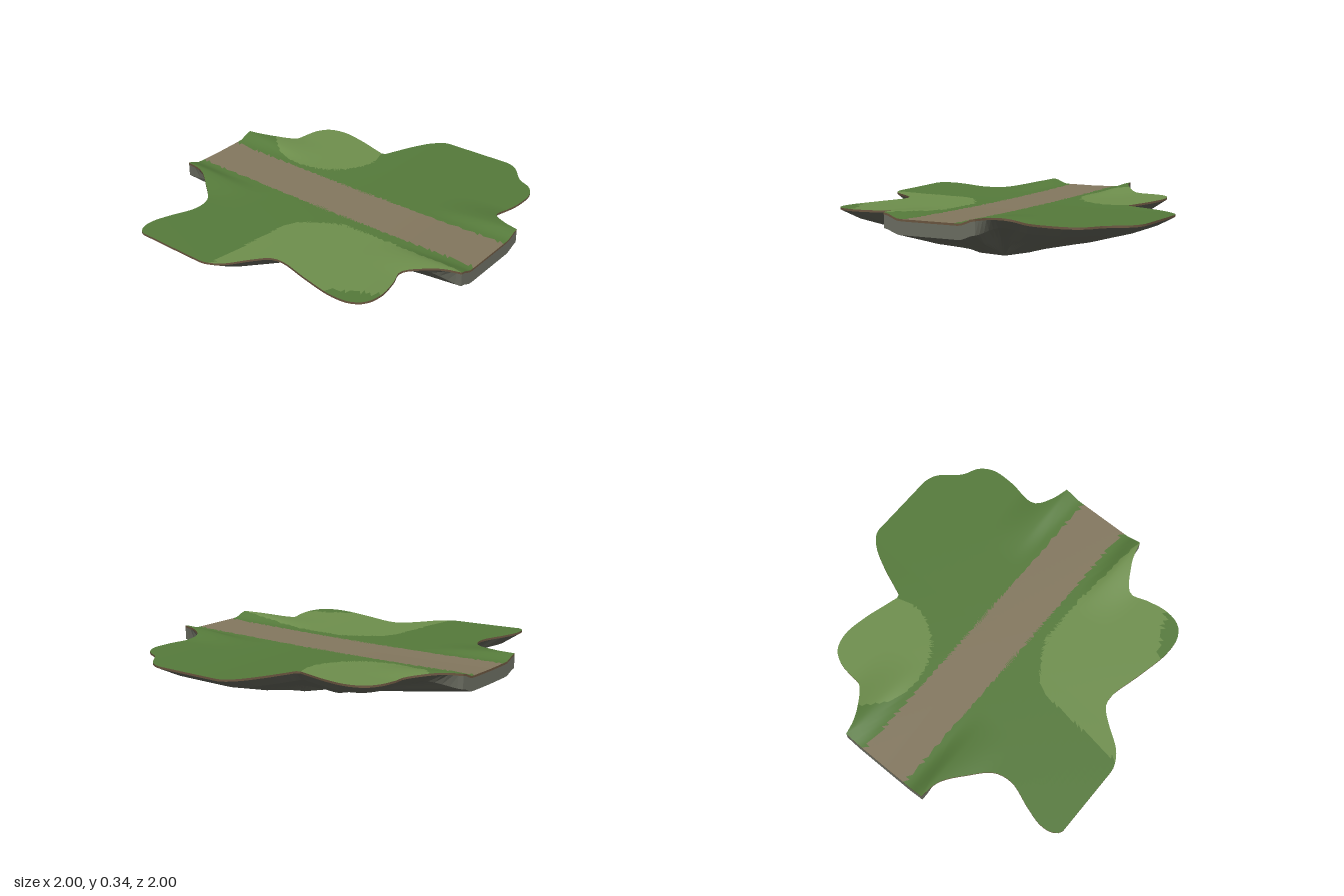
import * as THREE from 'three';

const smooth = THREE.MathUtils.smoothstep;

// Plan outline [x, z], clockwise seen from above; the two straight ends join these coasts
const backCoast = [[-1, -0.28], [-0.92, -0.3], [-0.84, -0.34], [-0.73, -0.43], [-0.72, -0.5], [-0.7, -0.6],
  [-0.65, -0.67], [-0.55, -0.7], [-0.4, -0.68], [-0.22, -0.63], [-0.17, -0.62], [-0.14, -0.68], [-0.09, -0.8],
  [-0.01, -0.94], [0.07, -1], [0.3, -1], [0.5, -1], [0.58, -0.97], [0.69, -0.85], [0.78, -0.8], [0.83, -0.72],
  [0.835, -0.58], [0.81, -0.38], [0.9, -0.31], [1, -0.28]];
const frontCoast = [[1, 0.28], [0.92, 0.3], [0.85, 0.33], [0.715, 0.43], [0.74, 0.53], [0.76, 0.66], [0.735, 0.76],
  [0.67, 0.81], [0.55, 0.82], [0.35, 0.78], [0.14, 0.73], [0.07, 0.745], [0, 0.82], [-0.1, 0.95], [-0.2, 1],
  [-0.4, 1], [-0.65, 1], [-0.69, 0.96], [-0.7, 0.88], [-0.67, 0.77], [-0.615, 0.61], [-0.635, 0.5],
  [-0.75, 0.39], [-0.88, 0.3], [-1, 0.28]];

function makeOutline() {
  const coast = (pts) => new THREE.CatmullRomCurve3(pts.map(([x, z]) => new THREE.Vector3(x, 0, z)))
    .getSpacedPoints(110).slice(0, -1);
  const end = (x, z0) => Array.from({ length: 20 }, (_, i) => new THREE.Vector3(x, 0, z0 * (1 - i / 10)));
  const all = [...coast(backCoast), ...end(1, -0.28), ...coast(frontCoast), ...end(-1, 0.28)];
  all.forEach((p) => { p.z = THREE.MathUtils.clamp(p.z, -1, 1); });
  return all;
}

// Ground height: almost flat, with raised banks beside the road towards both ends
function groundHeight(x, z) {
  const a = Math.abs(z);
  const bank = smooth(a, 0.18, 0.28) * (1 - smooth(a, 0.29, 0.5));
  return 0.3 + 0.011 * x * x + 0.012 * Math.max(0, -x) * Math.min(1, a)
    + 0.03 * bank * smooth(Math.abs(x), 0.4, 0.95);
}

// Which ground cover lies at a point
function coverAt(x, z) {
  if (Math.abs(z) < 0.15) return 'road';
  if (((x + 0.52) / 0.36) ** 2 + ((z + 0.5) / 0.31) ** 2 < 1) return 'lightGrass';
  const edge = -0.14 + 0.1 * (0.9 - z) + 0.25 * Math.max(0, (0.45 - z) / 0.23) ** 2;
  const darkSpot = x > 0.5 && z + 0.5 * x > 1.04;
  if (z > 0.22 + 0.1 * Math.max(0, x - 0.5) && x > edge && !darkSpot) return 'lightGrass';
  return 'darkGrass';
}

// Joins closed rings of points; sort(x, z) may split the triangles into several index lists
function loft(rings, sort = () => 'all') {
  const n = rings[0].length;
  const verts = rings.flat();
  const lists = {};
  const add = (...t) => {
    const x = t.reduce((s, k) => s + verts[k].x / 3, 0);
    const z = t.reduce((s, k) => s + verts[k].z / 3, 0);
    (lists[sort(x, z)] ??= []).push(...t);
  };
  for (let r = 0; r < rings.length - 1; r++) {
    for (let i = 0; i < n; i++) {
      const j = (i + 1) % n;
      const a = r * n, b = a + n;
      add(a + i, b + j, b + i);
      add(a + i, a + j, b + j);
    }
  }
  const geometry = new THREE.BufferGeometry().setFromPoints(verts);
  geometry.setIndex(Object.values(lists).flat());
  geometry.computeVertexNormals();
  return { geometry, lists };
}

export function createModel() {
  const group = new THREE.Group();
  const outline = makeOutline();
  const n = outline.length;
  const addMesh = (name, geometry, color, flatShading = false) => {
    const mesh = new THREE.Mesh(geometry, new THREE.MeshStandardMaterial({ color, flatShading }));
    mesh.name = name;
    group.add(mesh);
  };

  // Ground, split into road and two grass tones that share smooth normals
  const steps = 30;
  const groundRings = Array.from({ length: steps + 1 }, (_, r) => {
    const t = Math.max(r / steps, 0.0005);
    return outline.map((p) => new THREE.Vector3(p.x * t, groundHeight(p.x * t, p.z * t), p.z * t));
  });
  const ground = loft(groundRings, coverAt);
  const colors = { road: 0x84785f, darkGrass: 0x567b3b, lightGrass: 0x6f904d };
  for (const [name, index] of Object.entries(ground.lists)) {
    const geometry = ground.geometry.clone();
    geometry.setIndex(index);
    addMesh(name, geometry, colors[name]);
  }

  // Thin soil lip under the turf
  const top = groundRings[steps];
  const lip = top.map((p) => new THREE.Vector3(p.x, p.y - 0.012, p.z));
  addMesh('soilRim', loft([top, lip]).geometry, 0x6b5640, true);

  // Faceted rock: wall (vertical at the road ends, sloping in elsewhere), then a shallow cone
  const noise = (k) => { const s = Math.sin(k * 127.1 + 11.7) * 43758.5; return s - Math.floor(s); };
  const crag = (i, seed) => {
    const f = (i / n) * 52, k = Math.floor(f);
    return THREE.MathUtils.lerp(noise(k + seed), noise(((k + 1) % 52) + seed), f - k);
  };
  const wall = top.map((p) => {
    const s = 1 - 0.1 * (1 - smooth(Math.abs(p.x), 0.85, 1));
    return new THREE.Vector3(p.x * s, p.y - 0.085 + 0.02 * (1 - s) * 10, p.z * s);
  });
  const apex = new THREE.Vector3(0.14, 0, 0.03);
  const coneRing = (t, y, rough, seed) => wall.map((p, i) => {
    const q = apex.clone().lerp(p, t + 0.06 * (crag(i, seed + 90) - 0.5));
    q.y = p.y * y + rough * crag(i, seed);
    return q;
  });
  const tip = wall.map((p) => apex.clone().lerp(p, 0.0005));
  const rock = [lip, wall, coneRing(0.68, 0.63, 0.02, 5), coneRing(0.34, 0.28, 0.02, 200), tip];
  addMesh('rockUnderside', loft(rock).geometry, 0x6c6e62, true);

  return group;
}
